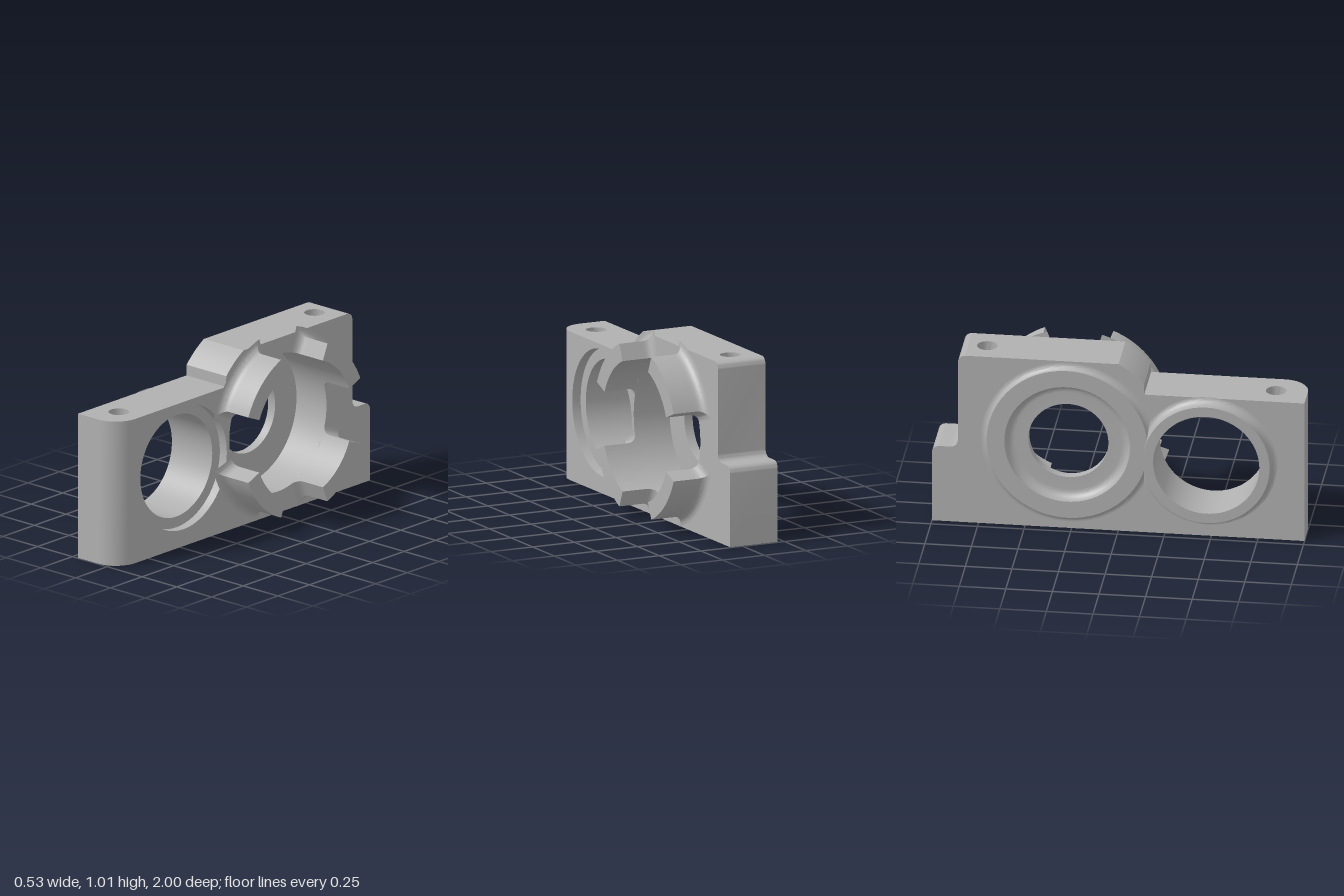
import * as THREE from 'three';
import { toCreasedNormals } from 'three/addons/utils/BufferGeometryUtils.js';

const XB = -0.21, XF = 0.075;                 // flat sides of the plate
const BIG = { z: -0.27, y: 0.505 }, SMALL = { z: 0.48, y: 0.44 };
const CORNER = 0.14, HOLE_X = -0.07, HOLE_R = 0.055;
const rad = THREE.MathUtils.degToRad;

// Points of an arc (elliptical if ry is given), angles in degrees
function arc(cx, cy, r, a0, a1, n = 10, ry = r) {
  return Array.from({ length: n + 1 }, (_, i) => {
    const a = rad(a0 + (a1 - a0) * i / n);
    return [cx + r * Math.cos(a), cy + ry * Math.sin(a)];
  });
}

function shapeOf(points, holes = []) {
  const shape = new THREE.Shape(points.map(p => new THREE.Vector2(...p)));
  for (const [cx, cy, r] of holes) {
    const h = new THREE.Path();
    h.absarc(cx, cy, r, 0, Math.PI * 2, true);
    shape.holes.push(h);
  }
  return new THREE.ShapeGeometry(shape, 48);
}

// Strip along a list of points; place(p, t) gives the position for t = 0..1 across it
function strip(points, place) {
  const g = new THREE.PlaneGeometry(1, 1, points.length - 1, 1);
  const pos = g.attributes.position;
  for (let i = 0; i < pos.count; i++) {
    pos.setXYZ(i, ...place(points[i % points.length], i < points.length ? 1 : 0));
  }
  return toCreasedNormals(g, 0.6);
}

function lathe(profile, segments = 96) {
  const g = new THREE.LatheGeometry(profile.map(p => new THREE.Vector2(...p)), segments);
  return toCreasedNormals(g, 0.6);
}

export function createModel() {
  const model = new THREE.Group();
  const metal = new THREE.MeshStandardMaterial({ color: 0xb0b0b0, side: THREE.DoubleSide });
  metal.name = 'greyMetal';
  const add = (name, geometry, x = 0, y = 0, z = 0) => {
    const m = new THREE.Mesh(geometry, metal);
    m.name = name;
    m.position.set(x, y, z);
    model.add(m);
    return m;
  };

  // Plate outline in (z, y)
  const shoulder = [...arc(BIG.z, BIG.y, 0.548, 60.2, 41.7), [0.14, 0.81]];
  const rearEnd = [
    ...arc(-0.82, 0.94, 0.04, 90, 180, 6),
    ...arc(-0.90, 0.48, 0.04, 0, -90, 6),
    ...arc(-0.96, 0.40, 0.04, 90, 180, 6),
    [-1, 0],
  ];
  const outline = zMax => [[zMax, 0], [zMax, 0.81], ...shoulder.slice().reverse(), ...rearEnd];

  // Large flat sides with bores
  const sideFace = (zMax, rBig, rSmall) =>
    shapeOf(outline(zMax), [[BIG.z, BIG.y, rBig], [SMALL.z, SMALL.y, rSmall]]).rotateY(-Math.PI / 2);
  add('plateFrontSide', sideFace(1 - CORNER, 0.385, 0.345), XF);
  add('plateBackSide', sideFace(1, 0.39, 0.33), XB);

  // Edge walls
  const across = ([z, y], t) => [XB + (XF - XB) * t, y, z];
  add('shoulderWall', strip(shoulder, across));
  add('rearEndWall', strip(rearEnd, across));
  const roundEnd = [[XB, 1], ...arc(XF - CORNER, 1 - CORNER, CORNER, 90, 0, 14)];
  add('roundedEndWall', strip(roundEnd, ([x, z], t) => [x, 0.81 * t, z]));

  // Top and base faces with bolt holes
  const level = (name, pts, holeZs, y) =>
    add(name, shapeOf(pts, holeZs.map(z => [HOLE_X, z, HOLE_R])).rotateX(Math.PI / 2), 0, y);
  level('lowTop', [[XB, 0.14], ...roundEnd, [XF, 0.14]], [0.83], 0.81);
  level('highTop', [[XB, -0.82], [XB, shoulder[0][0]], [XF, shoulder[0][0]], [XF, -0.82]], [-0.72], 0.98);
  level('base', [[XB, -1], ...roundEnd, [XF, -1]], [0.83, -0.72], 0);

  // Blind bolt holes from above and below
  for (const [z, top] of [[0.83, 0.81], [-0.72, 0.98]]) {
    for (const [y, d] of [[top, -0.15], [0, 0.15]]) {
      add('boltHole', lathe([[0, d], [HOLE_R, d], [HOLE_R, 0]], 40), HOLE_X, y, z);
    }
  }

  // Turned bores with their flared rear bosses, profile in (radius, x)
  const bore = (name, profile, c) => {
    add(name, lathe(profile), 0, c.y, c.z).rotation.z = -Math.PI / 2;
  };
  bore('smallBore', [
    ...arc(0.375, -0.255, 0.035, 90, 180, 8, 0.045),
    [0.34, -0.265], [0.285, -0.265], [0.285, 0.025], [0.345, 0.025], [0.345, XF],
  ], SMALL);
  bore('largeBore', [
    ...arc(0.467, -0.24, 0.035, 90, 180, 8, 0.03),
    [0.337, -0.24], ...arc(0.287, -0.24, 0.05, 0, 90, 8),
    [0.215, -0.19], [0.215, -0.14], [0.385, -0.14], [0.385, XF],
  ], BIG);

  // Four curved prongs, flared into the plate on the outside and at the ends
  const R_IN = 0.385, R_OUT = 0.48, LENGTH = 0.19, FILLET = 0.048, HALF = Math.PI / 8;
  const sector = new THREE.Shape();
  sector.absarc(0, 0, R_OUT, -HALF, HALF, false);
  sector.absarc(0, 0, R_IN, HALF, -HALF, true);
  for (let k = 0; k < 4; k++) {
    const g = new THREE.ExtrudeGeometry(sector, {
      depth: LENGTH, steps: 16, bevelEnabled: false, curveSegments: 20,
    });
    const p = g.attributes.position;
    for (let i = 0; i < p.count; i++) {
      const h = p.getZ(i) ** 2 / LENGTH;
      const rest = Math.max(FILLET - h, 0);
      const f = FILLET - Math.sqrt(FILLET * FILLET - rest * rest);
      let r = Math.hypot(p.getX(i), p.getY(i));
      const a = Math.atan2(p.getY(i), p.getX(i)) * (1 + f / (0.43 * HALF));
      if (r > 0.43) r += f;
      p.setXYZ(i, r * Math.cos(a), r * Math.sin(a), h);
    }
    g.rotateZ(Math.PI / 4 + k * Math.PI / 2).rotateY(Math.PI / 2);
    add('prong', toCreasedNormals(g, 0.6), XF, BIG.y, BIG.z);
  }
  return model;
}
